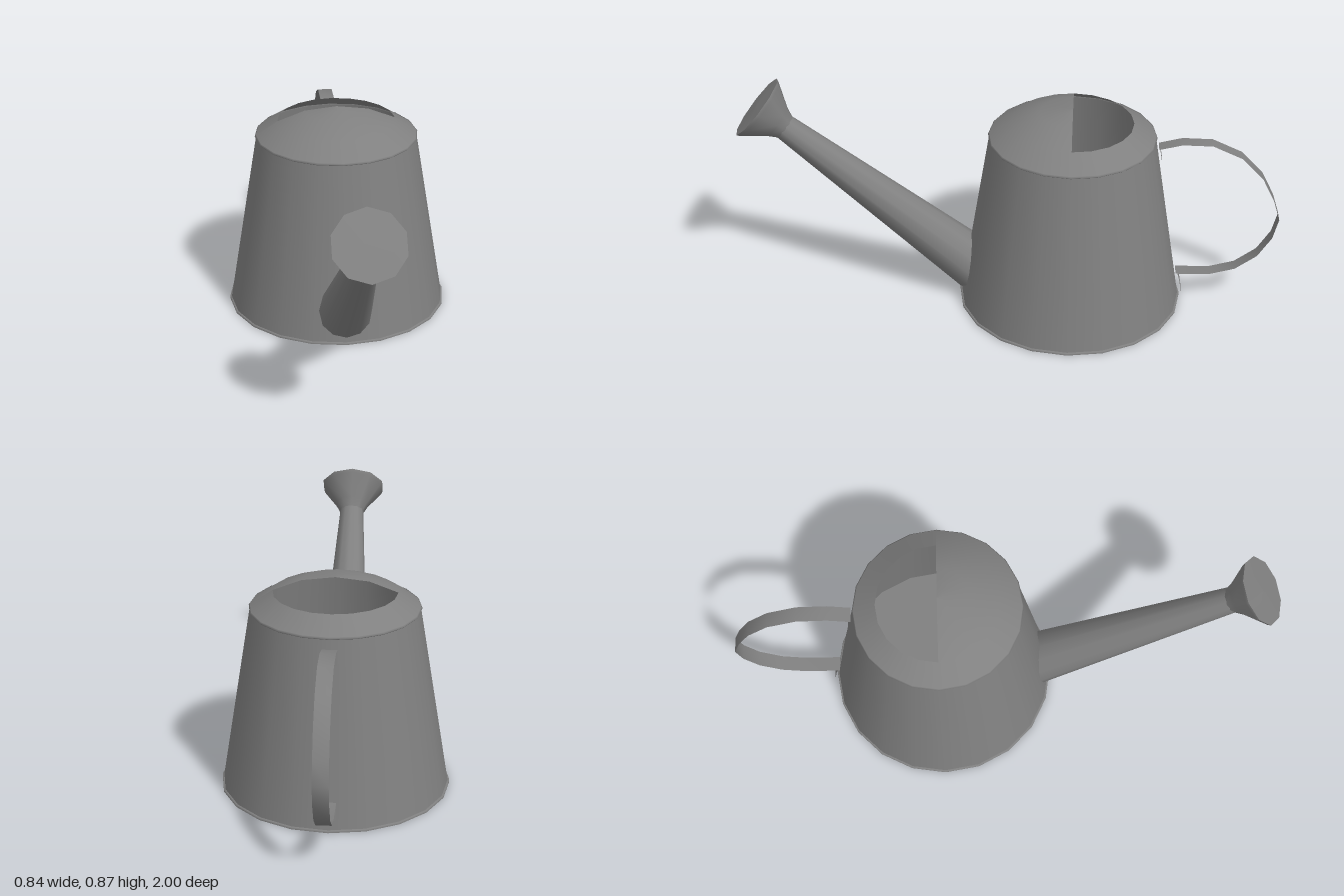
import * as THREE from 'three';

const BODY_Z = -0.23; // centre line of the can
const SIDES = 20;

export function createModel() {
  const model = new THREE.Group();
  model.name = 'wateringCan';
  const metal = new THREE.MeshStandardMaterial({ color: 0x808080, side: THREE.DoubleSide });
  metal.name = 'grey metal';

  const add = (name, geometry, parent) => {
    const mesh = new THREE.Mesh(geometry, metal);
    mesh.name = name;
    parent.add(mesh);
    return mesh;
  };
  const lathe = (profile, sides, start = 0, length = Math.PI * 2) =>
    new THREE.LatheGeometry(profile.map(([r, y]) => new THREE.Vector2(r, y)), sides, start, length);

  // Tapered can with closed base and thin foot rim
  const can = new THREE.Group();
  can.name = 'can';
  can.position.z = BODY_Z;
  model.add(can);
  add('wall', lathe([[0.412, 0.006], [0.303, 0.68]], SIDES), can);
  add('footRim', lathe([[0.418, 0], [0.418, 0.008], [0.41, 0.008]], SIDES), can);
  add('topRim', lathe([[0.304, 0.676], [0.308, 0.68], [0.304, 0.685]], SIDES), can);
  const base = add('base', new THREE.CircleGeometry(0.418, SIDES).rotateX(Math.PI / 2), can);
  base.position.y = 0.002;

  // Domed hood over the front half, sloped collar round the filling hole at the back
  const collar = [[0.305, 0.682], [0.222, 0.737]];
  add('hood', lathe([...collar, [0.12, 0.776], [0, 0.79]], SIDES / 2, -Math.PI / 2, Math.PI), can);
  add('collar', lathe(collar, SIDES / 2, Math.PI / 2, Math.PI), can);

  // Spout and rose share one sloping axis, which starts inside the can wall
  const start = new THREE.Vector3(0, 0.11, 0.125);
  const neck = new THREE.Vector3(0, 0.69, 0.826);
  const axis = neck.clone().sub(start);
  const length = axis.length();
  const spout = new THREE.Group();
  spout.name = 'spout';
  spout.position.copy(start);
  spout.rotation.x = Math.atan2(axis.z, axis.y);
  model.add(spout);
  add('spoutTube', lathe([[0.101, 0], [0.047, length]], 12), spout);
  add('rose', lathe([[0.047, length - 0.005], [0.065, length + 0.03],
    [0.122, length + 0.11], [0.127, length + 0.122]], 10), spout);
  add('roseFace', lathe([[0.127, length + 0.122], [0, length + 0.126]], 10), spout);

  // Strap handle: a flat ribbon along a side path, with a fixing tab at each end
  const strap = (name, path, width) => {
    const geometry = new THREE.PlaneGeometry(width, 1, 1, path.length - 1);
    const pos = geometry.attributes.position;
    for (let i = 0; i < pos.count; i++) {
      const [z, y] = path[Math.floor(i / 2)];
      pos.setXYZ(i, pos.getX(i), y, z);
    }
    geometry.computeVertexNormals();
    add(name, geometry, handle);
  };
  const handle = new THREE.Group();
  handle.name = 'handle';
  model.add(handle);
  strap('handleStrap', [[-0.545, 0.645], [-0.63, 0.667], [-0.74, 0.665], [-0.85, 0.615],
    [-0.93, 0.53], [-0.975, 0.44], [-1, 0.36], [-0.98, 0.28], [-0.93, 0.2],
    [-0.85, 0.14], [-0.76, 0.114], [-0.63, 0.11]], 0.055);
  strap('upperTab', [[-0.549, 0.645], [-0.558, 0.59]], 0.055);
  strap('lowerTab', [[-0.637, 0.11], [-0.645, 0.085], [-0.656, 0.02]], 0.055);

  return model;
}
